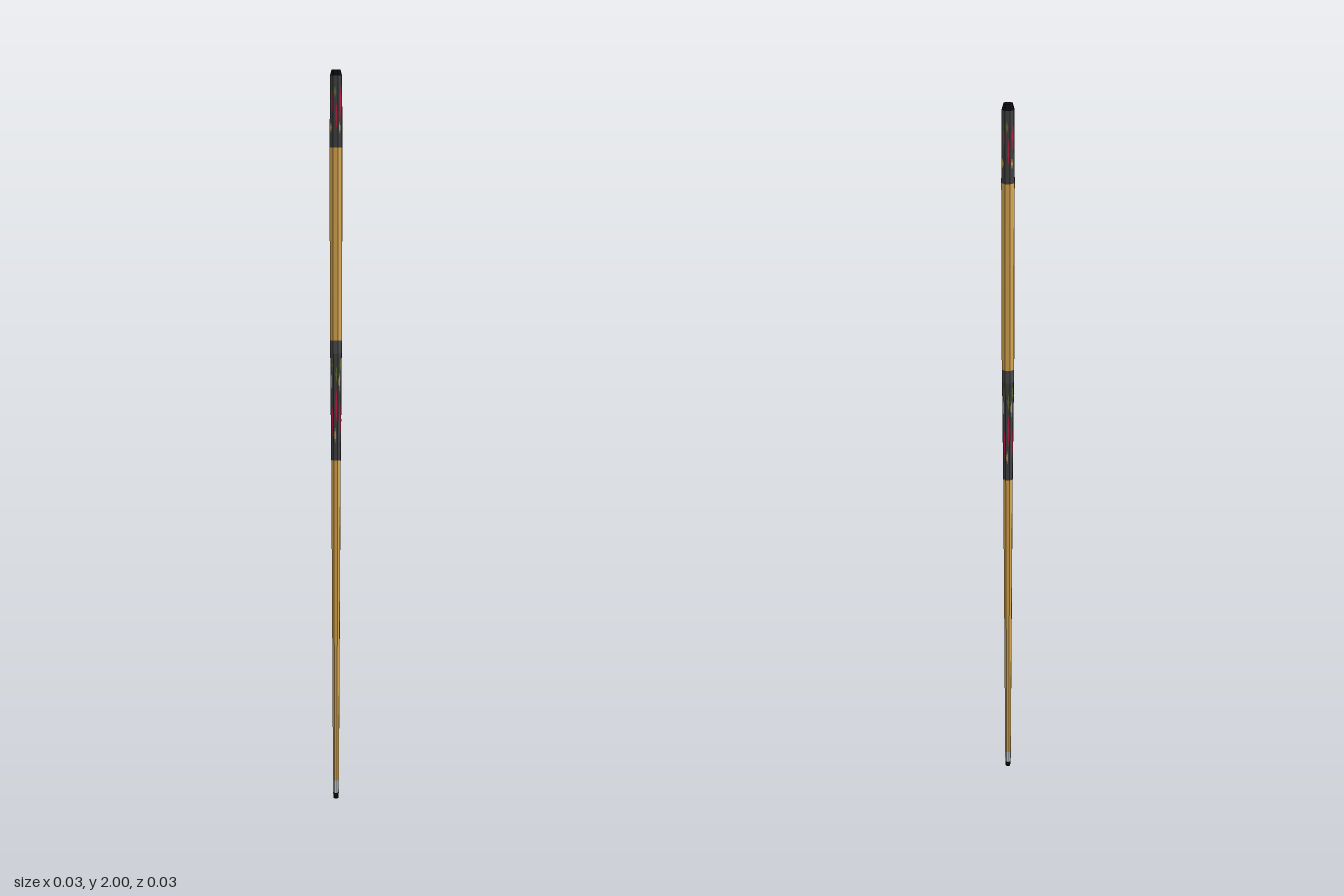
import * as THREE from 'three';

const SIDES = 8;

export function createModel() {
  const group = new THREE.Group();
  group.name = 'cue';
  const paint = (name, color) => {
    const m = new THREE.MeshStandardMaterial({ color, flatShading: true });
    m.name = name;
    return m;
  };
  const wood = paint('honey wood', 0xd8a851);
  const dark = paint('charcoal', 0x414142);
  const black = paint('black', 0x0c0c0e);
  const grey = paint('grey ring', 0x4c4c4d);
  const white = paint('ferrule white', 0xc8ccd2);
  const red = paint('red inlay', 0xc41c40);
  const gold = paint('gold inlay', 0xc29646);
  const green = paint('olive inlay', 0x5f7030);

  // Eight-sided tapering section between two heights
  const section = (name, y0, y1, r0, r1, material) => {
    const mesh = new THREE.Mesh(new THREE.CylinderGeometry(r1, r0, y1 - y0, SIDES), material);
    mesh.position.y = (y0 + y1) / 2;
    mesh.name = name;
    group.add(mesh);
  };

  section('tip', 0, 0.018, 0.007, 0.0086, black);
  section('ferrule', 0.018, 0.055, 0.0086, 0.0088, white);
  section('shaft', 0.055, 0.98, 0.0088, 0.0135, wood);
  section('forearm', 0.98, 1.27, 0.0138, 0.0162, dark);
  section('collar', 1.27, 1.305, 0.0168, 0.017, grey);
  section('grip', 1.305, 1.805, 0.017, 0.0174, wood);
  section('butt', 1.805, 1.985, 0.0174, 0.0162, dark);
  section('buttCap', 1.985, 2, 0.0162, 0.012, black);

  // Thin pointed strip lying on one facet of a tapered sleeve, centred at u across it
  const inlay = (name, face, y0, y1, u, width, radiusAt, material) => {
    const at = (y, across) => {
      const r = radiusAt(y) + 0.0004;
      const corner = (k) => {
        const a = (k / SIDES) * Math.PI * 2;
        return new THREE.Vector3(Math.sin(a) * r, y, Math.cos(a) * r);
      };
      return corner(face).lerp(corner(face + 1), across);
    };
    const mid = (y0 + y1) / 2;
    const pts = [at(y0, u), at(mid, u + width / 2), at(y1, u), at(mid, u - width / 2)];
    const geo = new THREE.BufferGeometry().setFromPoints(pts);
    geo.setIndex([0, 1, 2, 0, 2, 3]);
    geo.computeVertexNormals();
    const mesh = new THREE.Mesh(geo, material);
    mesh.name = name;
    group.add(mesh);
  };

  const forearmRadius = (y) => 0.0138 + ((y - 0.98) / 0.29) * 0.0024;
  const buttRadius = (y) => 0.0174 - ((y - 1.805) / 0.18) * 0.0012;
  for (let f = 0; f < SIDES; f++) {
    const odd = f % 2;
    // Slender red points with small gold and olive accents
    inlay('forearmRedInlay', f, odd ? 1.08 : 1.04, odd ? 1.18 : 1.14, 0.68, 0.5, forearmRadius, red);
    inlay('forearmGoldInlay', f, odd ? 1.03 : 1.17, odd ? 1.07 : 1.22, 0.4, 0.5, forearmRadius, gold);
    inlay('forearmOliveInlay', f, odd ? 1.19 : 1.22, odd ? 1.24 : 1.26, 0.68, 0.4, forearmRadius, green);
    inlay('buttRedInlay', f, odd ? 1.85 : 1.88, odd ? 1.92 : 1.96, 0.68, 0.45, buttRadius, red);
    inlay('buttAccentInlay', f, odd ? 1.93 : 1.84, odd ? 1.96 : 1.87, 0.4, 0.5, buttRadius, odd ? green : gold);
  }
  return group;
}
